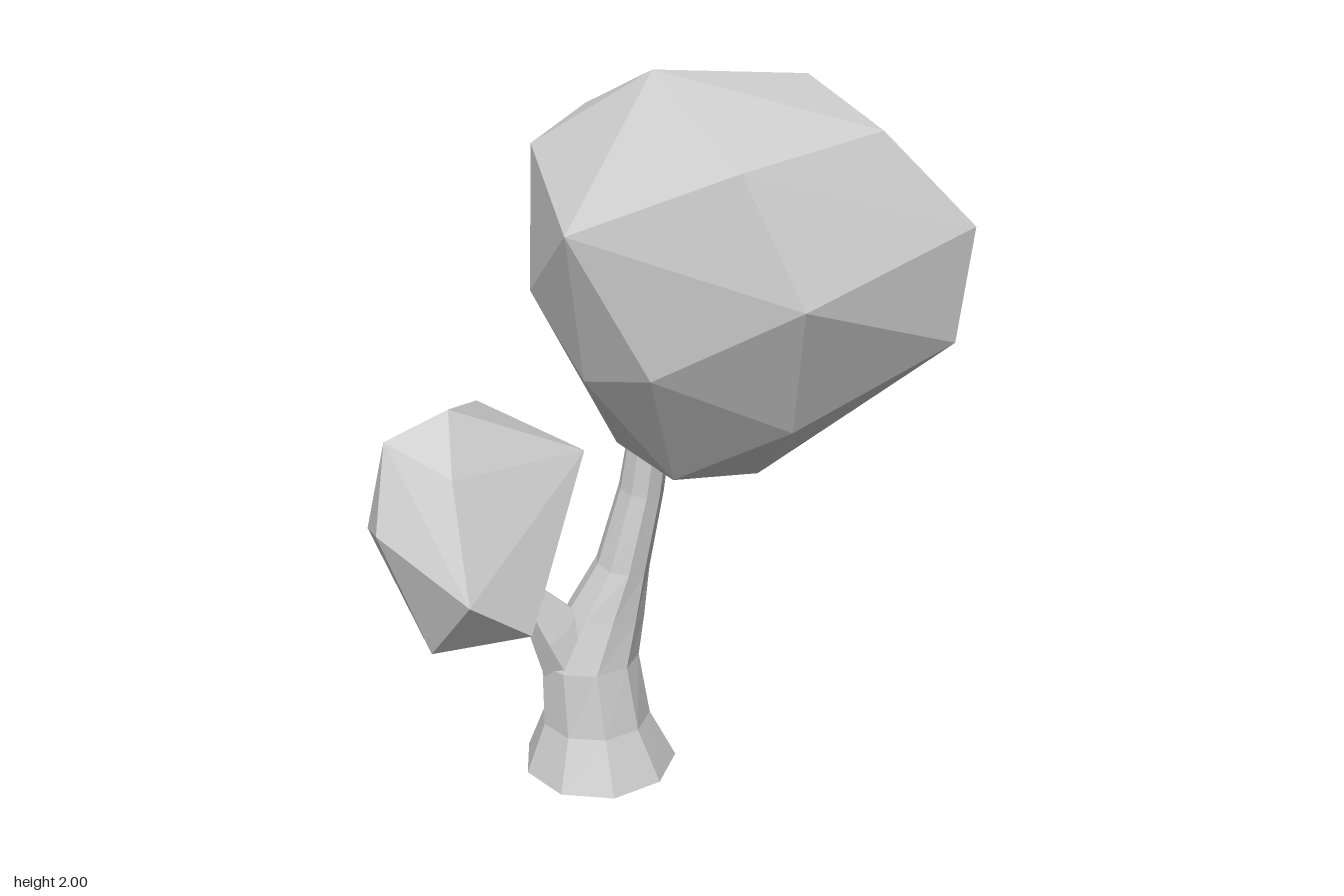
import * as THREE from 'three';
import { ConvexGeometry } from 'three/addons/geometries/ConvexGeometry.js';

const SIDES = 9;

function makeMesh(name, geometry) {
  const material = new THREE.MeshStandardMaterial({
    color: 0xcccccc, flatShading: true, side: THREE.DoubleSide,
  });
  const mesh = new THREE.Mesh(geometry, material);
  mesh.name = name;
  return mesh;
}

// Open faceted limb through rings of [x, y, z, radiusX, radiusZ, tilt about z]
function limb(name, rings, sides = SIDES) {
  const positions = [], indices = [];
  for (const [x, y, z, rx, rz, tilt] of rings) {
    for (let i = 0; i < sides; i++) {
      const a = (i / sides) * Math.PI * 2 + 0.2;
      const c = Math.cos(a) * rx;
      positions.push(x + c * Math.cos(tilt), y + c * Math.sin(tilt), z + Math.sin(a) * rz);
    }
  }
  for (let r = 0; r < rings.length - 1; r++) {
    for (let i = 0; i < sides; i++) {
      const j = (i + 1) % sides, p = r * sides, q = p + sides;
      indices.push(p + i, q + i, p + j, p + j, q + i, q + j);
    }
  }
  const geometry = new THREE.BufferGeometry();
  geometry.setAttribute('position', new THREE.Float32BufferAttribute(positions, 3));
  geometry.setIndex(indices);
  const flat = geometry.toNonIndexed();
  flat.computeVertexNormals();
  return makeMesh(name, flat);
}

// Faceted clump of leaves wrapped around its corner points
function crown(name, points) {
  return makeMesh(name, new ConvexGeometry(points.map((p) => new THREE.Vector3(...p))));
}

export function createModel() {
  const tree = new THREE.Group();
  tree.name = 'tree';

  // Flared trunk narrowing into the main limb
  tree.add(limb('trunk', [
    [-0.2, 0, -0.035, 0.22, 0.22, 0],
    [-0.21, 0.15, -0.03, 0.155, 0.15, 0],
    [-0.225, 0.34, -0.03, 0.14, 0.118, 0],
    [-0.175, 0.48, -0.035, 0.11, 0.1, -0.15],
    [-0.125, 0.62, -0.035, 0.075, 0.085, -0.15],
    [-0.07, 0.84, -0.038, 0.062, 0.073, -0.15],
    [-0.045, 1.02, -0.03, 0.058, 0.065, -0.1],
  ]));

  // Side branch carrying the small crown
  tree.add(limb('sideBranch', [
    [-0.24, 0.31, -0.03, 0.12, 0.1, 0.3],
    [-0.325, 0.45, -0.025, 0.08, 0.075, 0.65],
    [-0.38, 0.54, -0.02, 0.048, 0.045, 0.75],
    [-0.48, 0.66, -0.01, 0.034, 0.034, 0.75],
  ], 7));

  // Large crown, from top to bottom
  tree.add(crown('largeCrown', [
    [-0.06, 2.0, 0.07], [0.375, 1.95, -0.04], [0.265, 1.89, -0.39], [0.475, 1.86, 0.25],
    [-0.135, 1.83, -0.387], [0.065, 1.82, 0.42], [-0.33, 1.79, -0.13], [0.685, 1.7, -0.25],
    [-0.318, 1.645, 0.235], [0.715, 1.615, 0.295], [-0.126, 1.576, -0.5], [0.193, 1.508, 0.533],
    [0.426, 1.465, -0.537], [-0.344, 1.4, -0.13], [0.81, 1.315, -0.15], [0.677, 1.313, 0.3],
    [-0.13, 1.29, 0.325], [-0.25, 1.22, 0.1], [0.227, 1.133, 0.36], [0.296, 1.13, -0.39],
    [0.487, 1.048, -0.19], [-0.137, 0.984, -0.035], [-0.016, 0.92, 0.105], [0.22, 0.912, 0.1],
    [0.074, 0.89, -0.063],
  ]));

  // Small crown, from top to bottom
  tree.add(crown('smallCrown', [
    [-0.59, 1.138, 0], [-0.76, 1.064, 0], [-0.487, 1.07, -0.217], [-0.61, 1.02, 0.187],
    [-0.222, 0.96, -0.058], [-0.805, 0.86, 0.13], [-0.713, 0.833, -0.217], [-0.61, 0.778, 0.42],
    [-0.81, 0.77, -0.117], [-0.45, 0.65, 0.365], [-0.483, 0.645, -0.278], [-0.37, 0.62, -0.15],
    [-0.688, 0.54, 0.2],
  ]));

  return tree;
}
